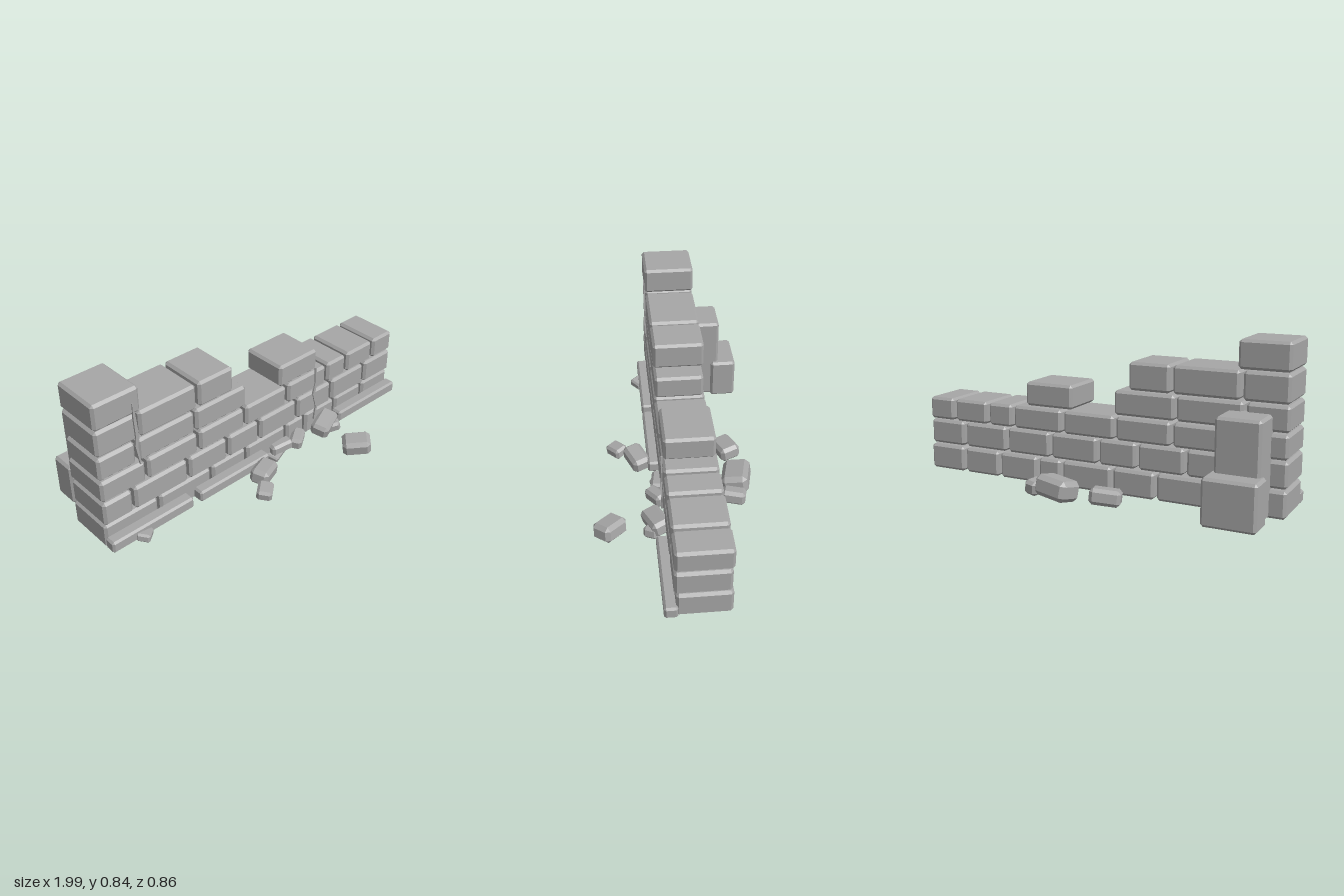
import * as THREE from 'three';
import { ConvexGeometry } from 'three/addons/geometries/ConvexGeometry.js';

const stone = new THREE.MeshStandardMaterial({ color: 0xa6a6a6 });
stone.name = 'grey stone';

// Box with every edge and corner chamfered
function chamferBox(w, h, d, c) {
  const pts = [];
  for (const sx of [-1, 1]) for (const sy of [-1, 1]) for (const sz of [-1, 1]) {
    const x = w / 2, y = h / 2, z = d / 2;
    pts.push(new THREE.Vector3(sx * x, sy * (y - c), sz * (z - c)));
    pts.push(new THREE.Vector3(sx * (x - c), sy * y, sz * (z - c)));
    pts.push(new THREE.Vector3(sx * (x - c), sy * (y - c), sz * z));
  }
  return new ConvexGeometry(pts);
}

// Block given by its limits on each axis
function block(parent, name, [x0, x1], [y0, y1], [z0, z1], c = 0.013) {
  const m = new THREE.Mesh(chamferBox(x1 - x0, y1 - y0, z1 - z0, c), stone);
  m.position.set((x0 + x1) / 2, (y0 + y1) / 2, (z0 + z1) / 2);
  m.name = name;
  parent.add(m);
}

// Thin jagged crack plate following points [x, y, halfWidth]
function crack(parent, path, z) {
  const s = new THREE.Shape();
  path.forEach(([x, y, w], i) => (i ? s.lineTo(x + w, y) : s.moveTo(x + w, y)));
  [...path].reverse().forEach(([x, y, w]) => s.lineTo(x - w, y));
  s.closePath();
  const m = new THREE.Mesh(new THREE.ExtrudeGeometry(s, { depth: 0.009, bevelEnabled: false }), stone);
  m.position.z = z;
  m.name = 'crack';
  parent.add(m);
}

export function createModel() {
  const model = new THREE.Group();
  model.name = 'ruinedWall';

  // Courses of bricks, from the ground up
  const courses = [
    { y: [0.034, 0.167], z: [-0.19, 0.07], x: [[-0.996, -0.69], [-0.675, -0.36], [-0.345, -0.125], [-0.11, 0.16], [0.175, 0.3], [0.315, 0.535], [0.55, 0.757], [0.773, 0.982]] },
    { y: [0.174, 0.303], z: [-0.182, 0.08], x: [[-0.996, -0.836], [-0.82, -0.51], [-0.494, -0.258], [-0.242, -0.044], [-0.028, 0.228], [0.244, 0.49], [0.506, 0.757], [0.773, 0.982]] },
    { y: [0.31, 0.427], z: [-0.188, 0.079], x: [[-0.996, -0.75], [-0.734, -0.44], [-0.424, -0.14], [-0.125, 0.153], [0.17, 0.447], [0.463, 0.602], [0.619, 0.816], [0.832, 0.982]] },
    { y: [0.434, 0.556], z: [-0.178, 0.075], x: [[-0.996, -0.793], [-0.777, -0.451], [-0.44, -0.125], [0.11, 0.378]] },
    { y: [0.565, 0.702], z: [-0.187, 0.077], x: [[-0.996, -0.777], [-0.761, -0.435], [-0.419, -0.207]] },
    { y: [0.708, 0.844], z: [-0.188, 0.08], x: [[-0.996, -0.75]] },
  ];
  courses.forEach((course, i) => {
    const row = new THREE.Group();
    row.name = 'brickCourse' + (i + 1);
    course.x.forEach((x) => block(row, 'brick', x, course.y, course.z));
    model.add(row);
  });

  // Skirting stones along the front foot
  for (const x of [[-0.996, -0.515], [-0.47, -0.005], [0.53, 0.996]])
    block(model, 'skirtingStone', x, [0.036, 0.1], [0.06, 0.125], 0.01);

  // Stepped buttress behind the tall end
  block(model, 'tallButtress', [-0.917, -0.7], [0.032, 0.515], [-0.337, -0.14]);
  block(model, 'shortButtress', [-0.938, -0.677], [0.032, 0.26], [-0.436, -0.295]);

  // Cracks down the front
  crack(model, [[-0.795, 0.77, 0.002], [-0.79, 0.69, 0.007], [-0.783, 0.58, 0.009], [-0.792, 0.54, 0.007], [-0.778, 0.43, 0.003]], 0.077);
  crack(model, [[0.362, 0.45, 0.004], [0.37, 0.36, 0.008], [0.355, 0.29, 0.008], [0.378, 0.2, 0.007], [0.365, 0.12, 0.004]], 0.077);

  // Fallen rubble: size, position, rotation
  const rubble = [
    [[0.155, 0.085, 0.1], [-0.1, 0.066, 0.18], [0.1, 0.4, -0.1]],
    [[0.1, 0.06, 0.08], [-0.19, 0.055, 0.285], [0.1, 0.7, 0.1]],
    [[0.15, 0.09, 0.115], [0.425, 0.066, 0.345], [0.15, -0.75, 0.12]],
    [[0.155, 0.08, 0.11], [-0.148, 0.06, -0.308], [0.12, 0.35, 0.1]],
    [[0.2, 0.105, 0.14], [0.11, 0.074, -0.33], [0.18, -0.22, 0.08]],
    [[0.08, 0.075, 0.125], [0.24, 0.06, -0.3], [-0.05, -0.25, 0.1]],
    [[0.17, 0.08, 0.1], [0.415, 0.085, 0.115], [0.2, 0.4, 0.15]],
    [[0.1, 0.06, 0.075], [0.45, 0.06, 0.13], [0.1, -0.5, 0.2]],
    [[0.13, 0.06, 0.065], [0.11, 0.068, 0.085], [0, -0.15, 0.05]],
    [[0.12, 0.07, 0.07], [0.22, 0.07, 0.1], [0.1, 0.6, 0.1]],
    [[0.2, 0.035, 0.07], [0.13, 0.034, 0.06], [0.2, 0.35, 0.12]],
    [[0.08, 0.045, 0.07], [-0.82, 0.053, 0.125], [0.1, 0.7, -0.1]],
  ];
  const pile = new THREE.Group();
  pile.name = 'rubble';
  for (const [size, pos, rot] of rubble) {
    const m = new THREE.Mesh(chamferBox(...size, Math.min(...size) * 0.22), stone);
    m.position.set(...pos);
    m.rotation.set(rot[0], rot[1], rot[2], 'YXZ');
    m.name = 'fallenStone';
    pile.add(m);
  }
  model.add(pile);
  return model;
}
